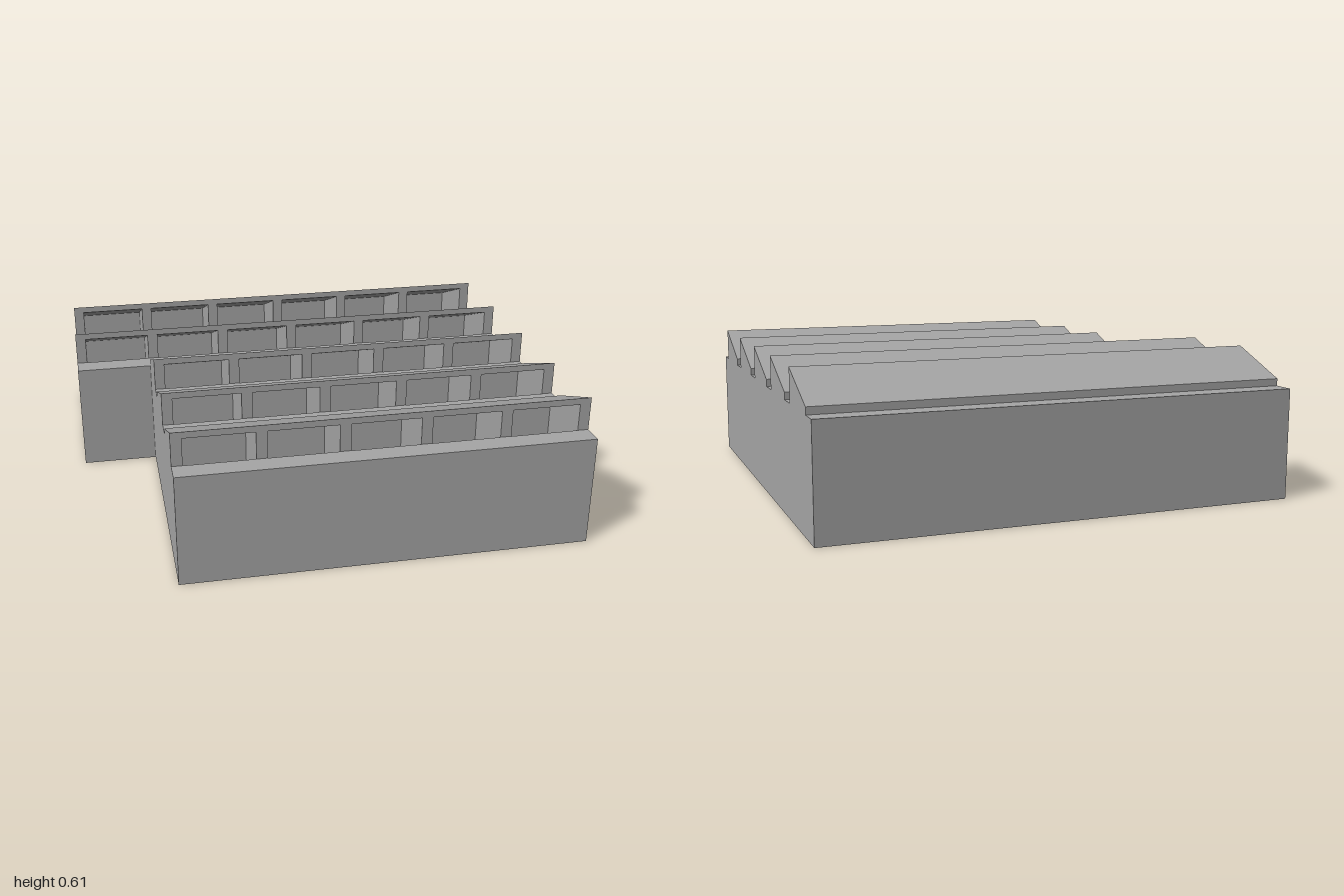
import * as THREE from 'three';

const COLS = 6, ROWS = 5;
const BASE_TOP = 0.465, EAVE = 0.495, LINTEL = 0.578, RIDGE = 0.605;
const HALF_Z = 0.975, NOTCH_X = -0.674, NOTCH_Z = -0.139;
const CELL_W = 0.281, CELL_D = 0.277;
const cellX = (i) => -0.956 + 0.326 * i;    // right edge of a column of cells
const cellZ = (k) => 0.884 - 0.373 * k;     // front edge of a row of cells
const firstCol = (k) => (k < 3 ? 1 : 0);    // the front rows lose one column to the notch

const material = new THREE.MeshStandardMaterial({ color: 0xa6a6a6, flatShading: true });

function addMesh(parent, geometry, name) {
  const mesh = new THREE.Mesh(geometry, material);
  mesh.name = name;
  parent.add(mesh);
}

const toShape = (points) => new THREE.Shape(points.map(([a, b]) => new THREE.Vector2(a, b)));

// Side profile of [z, y] corners extruded from x0 to x1
function profilePrism(points, x0, x1) {
  const shape = toShape(points.map(([z, y]) => [-z, y]));
  return new THREE.ExtrudeGeometry(shape, { depth: x1 - x0, bevelEnabled: false })
    .rotateY(Math.PI / 2)
    .translate(x0, 0, 0);
}

// L-shaped block pierced by a grid of vertical cells
function baseGeometry() {
  const plan = toShape([
    [-1, HALF_Z], [-1, -NOTCH_Z], [NOTCH_X, -NOTCH_Z],
    [NOTCH_X, -HALF_Z], [1, -HALF_Z], [1, HALF_Z],
  ]);
  for (let k = 0; k < ROWS; k++) {
    for (let i = firstCol(k); i < COLS; i++) {
      const x0 = cellX(i), x1 = x0 + CELL_W;
      const y0 = -cellZ(k), y1 = y0 + CELL_D;
      const hole = [[x0, y0], [x0, y1], [x1, y1], [x1, y0]];
      plan.holes.push(new THREE.Path(hole.map(([a, b]) => new THREE.Vector2(a, b))));
    }
  }
  return new THREE.ExtrudeGeometry(plan, { depth: BASE_TOP, bevelEnabled: false })
    .rotateX(-Math.PI / 2);
}

// One sawtooth: sloping roof slab carried by wedge walls between the windows
function sawtooth(k) {
  const group = new THREE.Group();
  group.name = `sawtoothRoof${k + 1}`;
  const front = cellZ(k), back = front - CELL_D;
  const start = firstCol(k);
  const xMin = start ? NOTCH_X : -1;

  const slab = [[front, LINTEL], [front, RIDGE], [back, EAVE], [back, BASE_TOP]];
  addMesh(group, profilePrism(slab, xMin, 1), 'roofSlab');

  const wedge = [[front, BASE_TOP], [front, LINTEL], [back, BASE_TOP]];
  for (let i = start; i <= COLS; i++) {
    const x0 = i === start ? xMin : cellX(i - 1) + CELL_W;
    const x1 = i === COLS ? 1 : cellX(i);
    addMesh(group, profilePrism(wedge, x0, x1), 'windowWall');
  }
  return group;
}

export function createModel() {
  const model = new THREE.Group();
  model.name = 'sawtoothHall';
  addMesh(model, baseGeometry(), 'base');
  for (let k = 0; k < ROWS; k++) model.add(sawtooth(k));
  return model;
}
